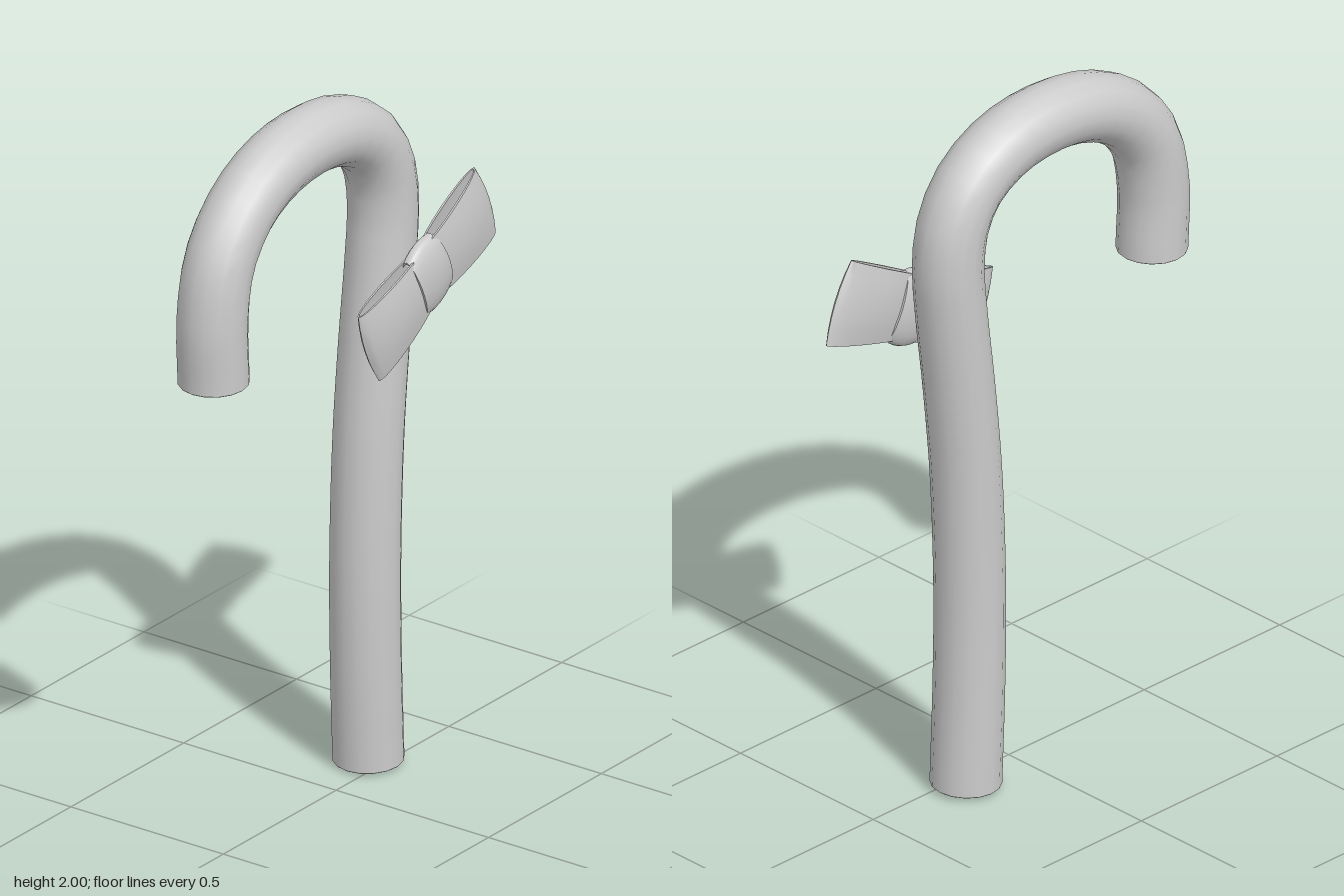
import * as THREE from 'three';
import { toCreasedNormals } from 'three/addons/utils/BufferGeometryUtils.js';

const material = new THREE.MeshStandardMaterial({ color: 0xcccccc });
const ribbonMaterial = new THREE.MeshStandardMaterial({ color: 0xcccccc, side: THREE.DoubleSide });

function addMesh(parent, name, geometry, mat = material) {
  const mesh = new THREE.Mesh(geometry, mat);
  mesh.name = name;
  parent.add(mesh);
  return mesh;
}

// Closed ribbon loop with thickness; point(angle, v, inset) gives [x, y, z], v in -1..1
function ribbonLoop(point, around = 24, rows = 6, thickness = 0.006) {
  const section = [];
  for (let i = 0; i <= rows; i++) section.push([-1 + (2 * i) / rows, 0]);
  for (let i = rows; i >= 0; i--) section.push([-1 + (2 * i) / rows, thickness]);
  const positions = [], index = [], n = section.length;
  for (let j = 0; j < around; j++) {
    for (const [v, inset] of section) positions.push(...point((j / around) * Math.PI * 2, v, inset));
  }
  for (let j = 0; j < around; j++) {
    for (let i = 0; i < n; i++) {
      const i2 = (i + 1) % n, j2 = (j + 1) % around;
      const a = j * n + i, b = j * n + i2, c = j2 * n + i2, d = j2 * n + i;
      index.push(a, b, c, a, c, d);
    }
  }
  const geometry = new THREE.BufferGeometry();
  geometry.setAttribute('position', new THREE.Float32BufferAttribute(positions, 3));
  geometry.setIndex(index);
  return toCreasedNormals(geometry, 0.8);
}

export function createModel() {
  const model = new THREE.Group();
  model.name = 'candyCane';

  // Cane: a slightly wavy shaft bending into a hook
  const radius = 0.096;
  const cane = new THREE.Group();
  cane.name = 'cane';
  cane.position.z = -0.039;
  model.add(cane);
  const path = new THREE.CatmullRomCurve3([
    [0.196, 0.012], [0.185, 0.3], [0.182, 0.6], [0.196, 0.95], [0.222, 1.22], [0.25, 1.45],
    [0.261, 1.6], [0.243, 1.715], [0.185, 1.81], [0.07, 1.88], [-0.09, 1.904], [-0.25, 1.878],
    [-0.375, 1.81], [-0.462, 1.7], [-0.495, 1.55], [-0.49, 1.358],
  ].map(([x, y]) => new THREE.Vector3(x, y, 0)), false, 'centripetal');
  addMesh(cane, 'shaftAndHook', new THREE.TubeGeometry(path, 48, radius, 16));

  // Softly domed end caps
  [[0, -1, 'bottomCap'], [1, 1, 'hookCap']].forEach(([t, sign, name]) => {
    const cap = addMesh(cane, name, new THREE.SphereGeometry(radius, 16, 6, 0, Math.PI * 2, 0, Math.PI / 2));
    cap.scale.y = 0.12;
    cap.position.copy(path.getPointAt(t));
    cap.quaternion.setFromUnitVectors(new THREE.Vector3(0, 1, 0), path.getTangentAt(t).multiplyScalar(sign));
  });

  // Bow tied on the front of the shaft
  const bow = new THREE.Group();
  bow.name = 'bow';
  bow.position.set(0.272, 1.424, 0.096);
  bow.rotation.set(0, 0.03, THREE.MathUtils.degToRad(23.5));
  model.add(bow);

  // Wings: flattened loops that flare outwards and puff up in the middle
  const wing = ribbonLoop((a, v, inset) => {
    const x = 0.145 + (0.148 - inset) * Math.cos(a);
    const flare = x / 0.293;
    const puff = 0.02 + 0.012 * (1 - v * v);
    return [x + 0.014 * flare * (1 - v * v), v * (0.09 + 0.03 * flare), (puff - inset) * Math.sin(a)];
  });
  addMesh(bow, 'leftWing', wing, ribbonMaterial);
  addMesh(bow, 'rightWing', wing, ribbonMaterial).rotation.y = Math.PI;

  // Knot: a band wrapped around the pinched middle
  const knot = ribbonLoop((a, v, inset) => {
    const bulge = 1 - 0.12 * v * v;
    return [
      (0.112 * bulge - inset) * Math.cos(a),
      v * (0.058 + 0.008 * Math.abs(Math.sin(a))),
      (0.038 * bulge - inset) * Math.sin(a),
    ];
  });
  knot.rotateZ(Math.PI / 2);
  addMesh(bow, 'knot', knot, ribbonMaterial);

  return model;
}
